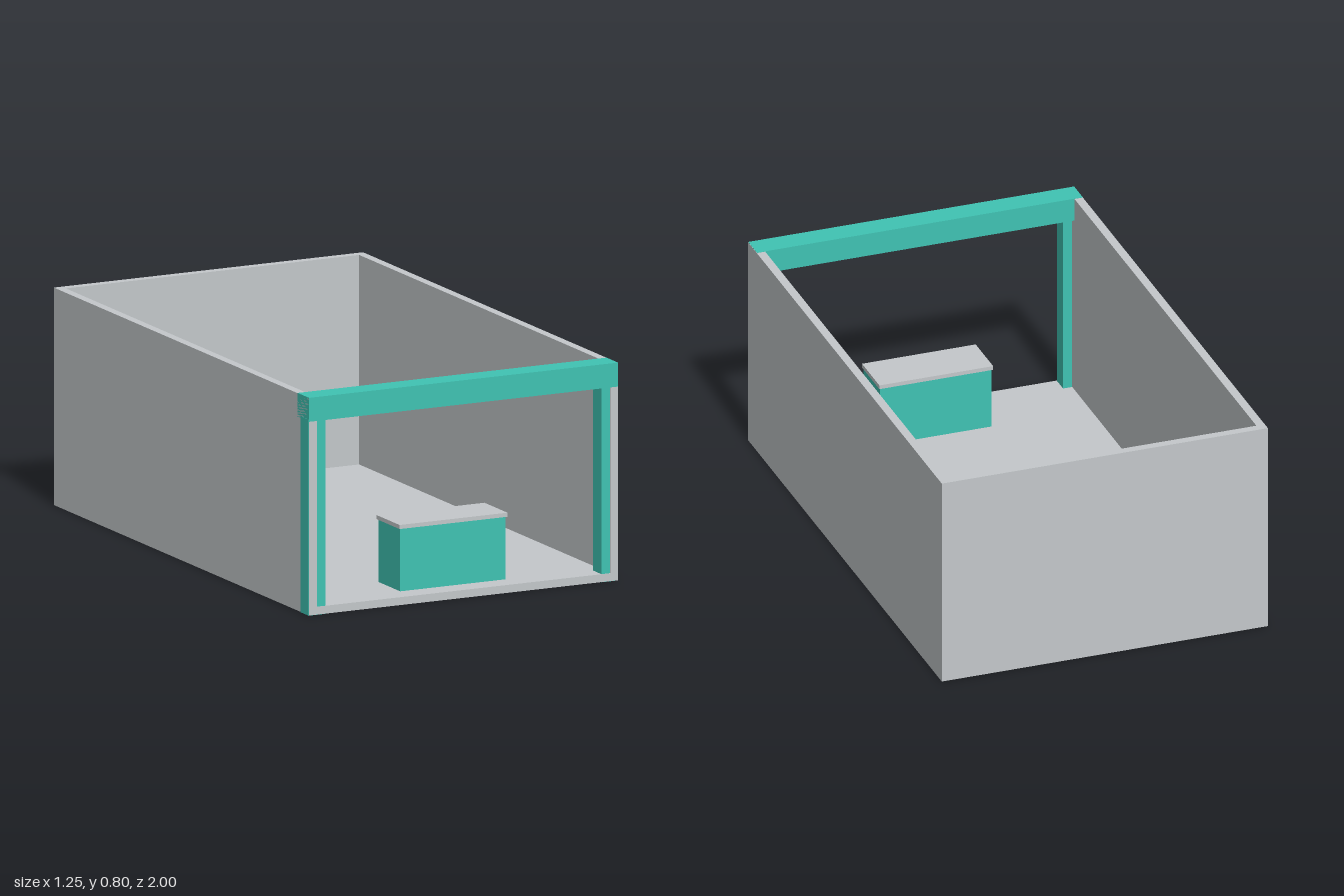
import * as THREE from 'three';

export function createModel() {
  const grey = new THREE.MeshStandardMaterial({ name: 'lightGrey', color: 0xc4c8cb });
  const teal = new THREE.MeshStandardMaterial({ name: 'teal', color: 0x40c3b3 });
  const model = new THREE.Group();
  model.name = 'shopBooth';

  // Box given by its lower and upper corners
  function box(name, material, [x0, y0, z0], [x1, y1, z1]) {
    const mesh = new THREE.Mesh(new THREE.BoxGeometry(x1 - x0, y1 - y0, z1 - z0), material);
    mesh.position.set((x0 + x1) / 2, (y0 + y1) / 2, (z0 + z1) / 2);
    mesh.name = name;
    model.add(mesh);
  }

  const W = 0.622, H = 0.8, T = 0.032, E = 0.001; // E keeps flush faces apart

  // Open-topped shell
  box('floor', grey, [-W + T, E, -1 + T], [W - T, 0.03, 1 - E]);
  box('backWall', grey, [-W, E, -1], [W, H - E, -1 + T]);
  box('leftWall', grey, [W - T, E, -1 + T], [W, H - E, 1 - E]);
  box('rightWall', grey, [-W, E, -1 + T], [-W + T, H - E, 1 - E]);

  // Front frame
  box('frontBeam', teal, [-W, 0.712, 0.91], [W - E, H, 1]);
  box('leftPillar', teal, [0.555, 0, 0.933], [W - E, 0.72, 1 - 2 * E]);
  box('rightPillar', teal, [-W - E, 0, 0.933], [-0.555, 0.72, 1 - 2 * E]);

  // Counter, its base reaching through the floor
  box('counterBody', teal, [-0.212, 0, 0.745], [0.212, 0.26, 0.915]);
  box('counterTop', grey, [-0.217, 0.26, 0.74], [0.217, 0.275, 0.92]);

  return model;
}
